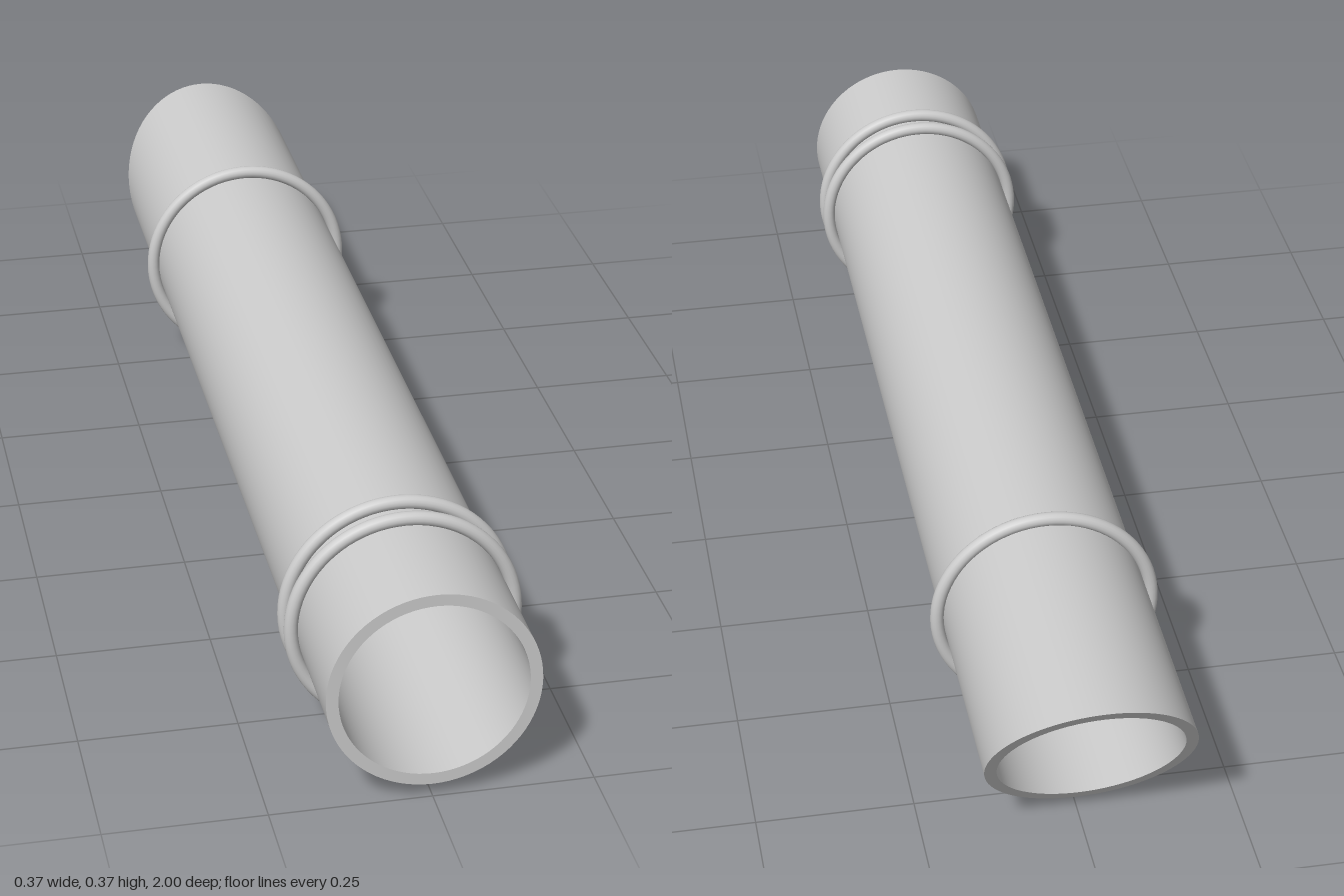
import * as THREE from 'three';
import { toCreasedNormals } from 'three/addons/utils/BufferGeometryUtils.js';

const OUTER = 0.164, INNER = 0.145, BEAD = 0.011, AXIS_Y = 0.186;

export function createModel() {
  const group = new THREE.Group();
  group.name = 'cutPipe';
  const material = new THREE.MeshStandardMaterial({ color: 0xcccccc });

  const add = (name, geometry, z = 0) => {
    const mesh = new THREE.Mesh(geometry, material);
    mesh.name = name;
    mesh.position.set(0, AXIS_Y, z);
    group.add(mesh);
  };

  // Hollow tube along z
  const section = new THREE.Shape().absarc(0, 0, OUTER, 0, Math.PI * 2);
  section.holes.push(new THREE.Path().absarc(0, 0, INNER, 0, Math.PI * 2, true));
  const tube = new THREE.ExtrudeGeometry(section, { depth: 2, bevelEnabled: false, curveSegments: 40 });
  tube.translate(0, 0, -1);

  // Slanted cut at the back: full length on top, shorter below
  const pos = tube.attributes.position;
  for (let i = 0; i < pos.count; i++) {
    if (pos.getZ(i) < 0) pos.setZ(i, -1 + (OUTER - pos.getY(i)) * 0.6);
  }
  add('tube', toCreasedNormals(tube, 0.5));

  // Raised beads: a pair near the front and one near the back
  const bead = new THREE.TorusGeometry(OUTER + BEAD, BEAD, 16, 80);
  add('frontBeadOuter', bead, 0.793);
  add('frontBeadInner', bead, 0.742);
  add('backBead', bead, -0.527);

  return group;
}
